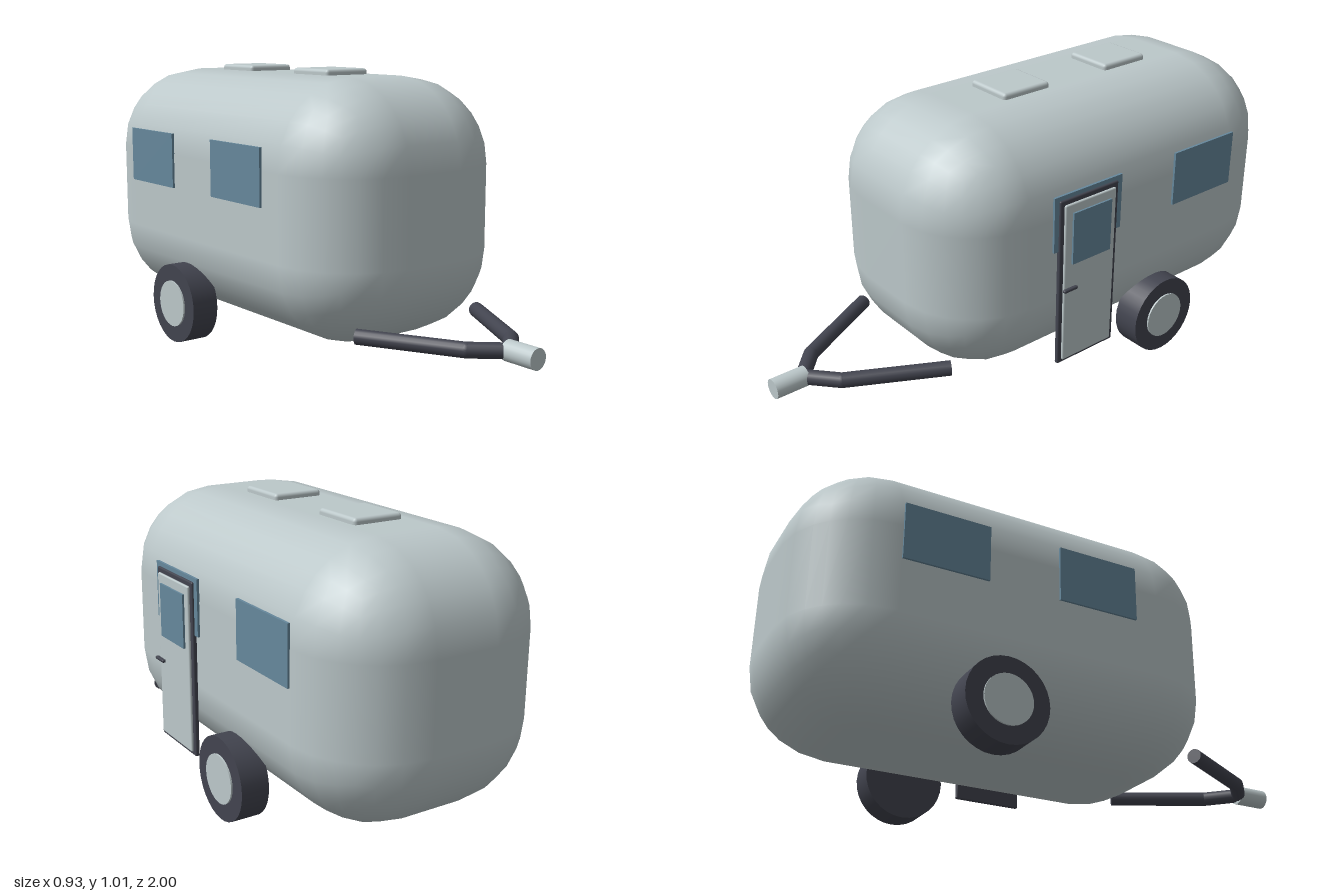
import * as THREE from 'three';
import { RoundedBoxGeometry } from 'three/addons/geometries/RoundedBoxGeometry.js';

export function createModel() {
  const mat = (name, color) => {
    const m = new THREE.MeshStandardMaterial({ color });
    m.name = name;
    return m;
  };
  const shell = mat('pale grey shell', 0xbcc8ca);
  const dark = mat('dark rubber', 0x42444f);
  const glass = mat('blue glass', 0x66889c);

  const model = new THREE.Group();
  model.name = 'caravan';
  const add = (name, geo, material, x, y, z) => {
    const mesh = new THREE.Mesh(geo, material);
    mesh.name = name;
    mesh.position.set(x, y, z);
    model.add(mesh);
    return mesh;
  };
  const box = (w, h, d) => new THREE.BoxGeometry(w, h, d);
  const rounded = (w, h, d, r) => new RoundedBoxGeometry(w, h, d, 2, r);

  // Rod between two points in the drawbar plane
  const rod = (name, a, b, r) => {
    const dir = b.clone().sub(a);
    const mesh = add(name, new THREE.CylinderGeometry(r, r, dir.length(), 16), dark,
      ...a.clone().add(b).multiplyScalar(0.5).toArray());
    mesh.quaternion.setFromUnitVectors(new THREE.Vector3(0, 1, 0), dir.normalize());
  };

  // Rounded cabin and roof vents
  add('cabin', new RoundedBoxGeometry(0.826, 0.9, 1.55, 3, 0.3), shell, 0, 0.535, -0.225);
  for (const z of [0, -0.46]) {
    add('roofVent', rounded(0.184, 0.04, 0.2, 0.012), shell, 0, 0.986, z);
  }

  for (const s of [1, -1]) {
    // Side windows
    for (const z of [0.01, -0.55]) {
      add('sideWindow', box(0.009, 0.2, 0.3), glass, s * 0.4165, 0.665, z);
    }
    // Wheels with an outer hub plate
    const tyre = add('tyre', new THREE.CylinderGeometry(0.145, 0.145, 0.1, 32), dark, s * 0.411, 0.145, -0.35);
    tyre.rotation.z = Math.PI / 2;
    const hub = add('hub', new THREE.CylinderGeometry(0.085, 0.085, 0.02, 32), shell, s * 0.457, 0.145, -0.35);
    hub.rotation.z = Math.PI / 2;
    // Bent drawbar arm
    const rear = new THREE.Vector3(s * 0.272, 0.175, 0.48);
    const bend = new THREE.Vector3(s * 0.1, 0.175, 0.8);
    const tip = new THREE.Vector3(0, 0.175, 0.89);
    rod('drawbarArm', rear, bend, 0.026);
    rod('drawbarTip', bend, tip, 0.026);
    add('drawbarElbow', new THREE.SphereGeometry(0.026, 16, 12), dark, ...bend.toArray());
  }

  // Hitch coupling
  const hitch = add('hitch', new THREE.CylinderGeometry(0.035, 0.035, 0.12, 24), shell, 0, 0.175, 0.94);
  hitch.rotation.x = Math.PI / 2;

  // Door on the left side
  add('doorFrame', rounded(0.016, 0.625, 0.258, 0.005), dark, 0.42, 0.437, 0.012);
  add('door', rounded(0.018, 0.595, 0.225, 0.005), shell, 0.427, 0.435, 0.012);
  add('doorWindow', box(0.009, 0.19, 0.17), glass, 0.4385, 0.605, 0.01);
  add('doorHandle', rounded(0.014, 0.012, 0.06, 0.005), dark, 0.445, 0.42, 0.105);

  return model;
}
